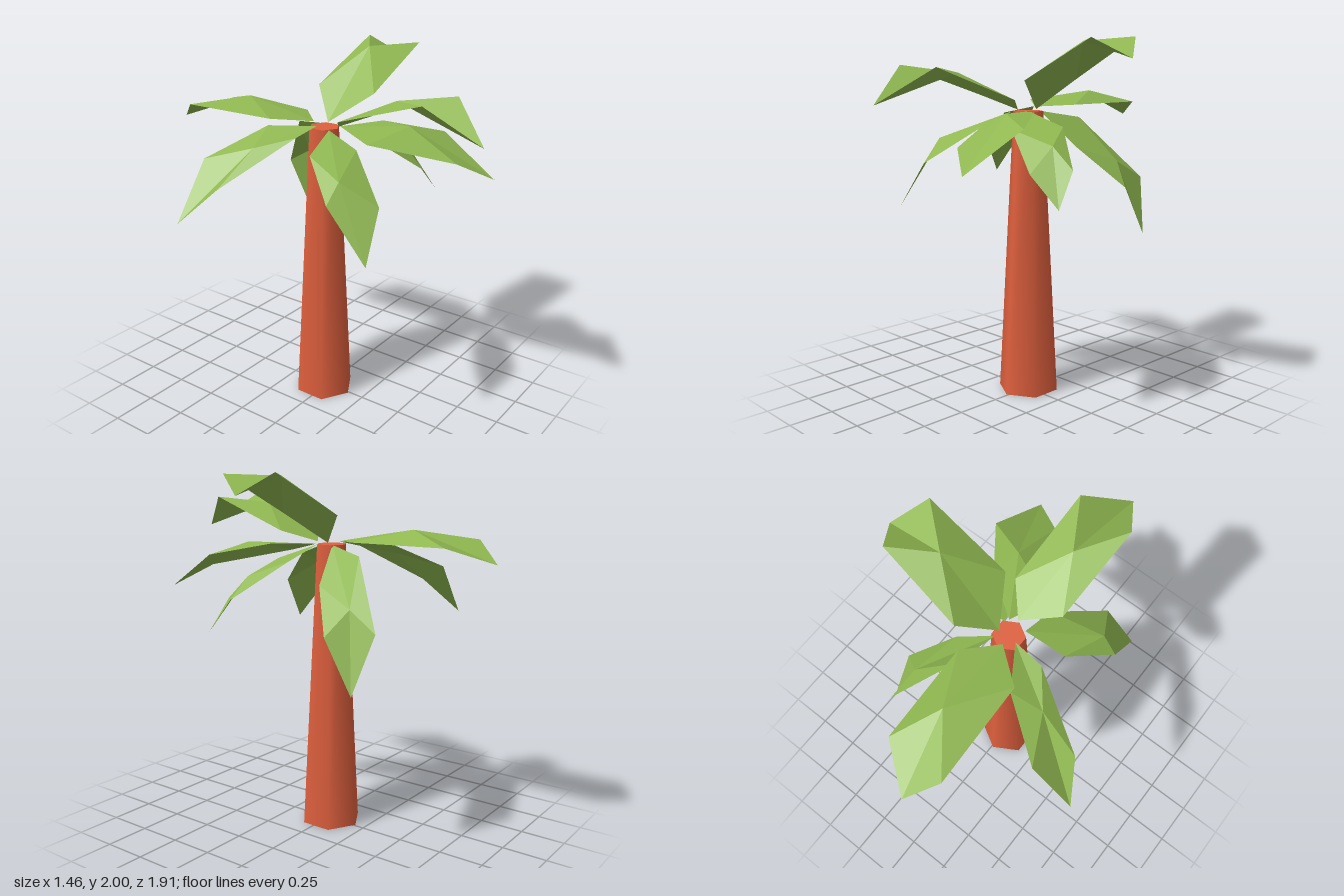
import * as THREE from 'three';

// Each frond: midrib point, then its outline from the base out along the
// right edge to the tip and back along the left edge.
const FRONDS = {
  backFrond: [[-0.02, 1.71, -0.53], [-0.02, 1.63, -0.08], [0.13, 1.64, -0.24], [0.11, 1.64, -0.78],
    [-0.11, 1.55, -0.96], [-0.23, 1.66, -0.8], [-0.21, 1.66, -0.23]],
  leftBackFrond: [[-0.37, 1.54, -0.21], [-0.06, 1.62, -0.03], [-0.2, 1.62, -0.25], [-0.49, 1.47, -0.45],
    [-0.73, 1.18, -0.43], [-0.61, 1.37, -0.25], [-0.23, 1.59, -0.04]],
  leftFrontFrond: [[-0.36, 1.46, 0.33], [-0.06, 1.61, 0.05], [-0.28, 1.53, 0.09], [-0.45, 1.36, 0.32],
    [-0.44, 1.09, 0.55], [-0.27, 1.34, 0.51], [-0.08, 1.54, 0.24]],
  frontFrond: [[-0.04, 1.82, 0.45], [0, 1.62, 0.07], [-0.18, 1.7, 0.19], [-0.21, 1.86, 0.69],
    [-0.07, 1.67, 0.95], [0.11, 1.85, 0.71], [0.135, 1.68, 0.22]],
  rightFrontFrond: [[0.23, 1.62, 0.37], [0.04, 1.61, 0.05], [-0.03, 1.56, 0.27], [0.21, 1.47, 0.67],
    [0.4, 1.36, 0.8], [0.45, 1.56, 0.46], [0.25, 1.62, 0.19]],
  lowerRightFrond: [[0.41, 1.46, 0.22], [0.05, 1.61, 0.03], [0.13, 1.53, 0.24], [0.4, 1.33, 0.37],
    [0.58, 1.17, 0.35], [0.55, 1.35, 0.22], [0.3, 1.54, 0.03]],
  rightFrond: [[0.4, 1.98, -0.01], [0.04, 1.62, -0.03], [0.165, 1.78, 0.18], [0.62, 1.99, 0.18],
    [0.73, 1.89, 0], [0.62, 2, -0.155], [0.18, 1.78, -0.195]],
  rightBackFrond: [[0.33, 1.33, -0.38], [0.04, 1.61, -0.06], [0.25, 1.42, -0.13], [0.45, 1.2, -0.31],
    [0.45, 0.92, -0.475], [0.36, 1.23, -0.555], [0.12, 1.57, -0.29]],
};

// Fan of six facets around the midrib point
function frondGeometry([mid, ...outline]) {
  const positions = [];
  outline.forEach((p, i) => positions.push(...mid, ...p, ...outline[(i + 1) % outline.length]));
  const geometry = new THREE.BufferGeometry();
  geometry.setAttribute('position', new THREE.Float32BufferAttribute(positions, 3));
  geometry.computeVertexNormals();
  return geometry;
}

export function createModel() {
  const tree = new THREE.Group();
  tree.name = 'palmTree';

  // Tapering six-sided trunk
  const trunk = new THREE.Mesh(
    new THREE.CylinderGeometry(0.086, 0.173, 1.61, 6),
    new THREE.MeshStandardMaterial({ color: 0xde5f3d }),
  );
  trunk.name = 'trunk';
  trunk.position.set(-0.01, 0.805, -0.018);
  tree.add(trunk);

  // Crown of creased fronds
  const crown = new THREE.Group();
  crown.name = 'crown';
  const green = new THREE.MeshStandardMaterial({ color: 0x8fb750, flatShading: true, side: THREE.DoubleSide });
  for (const [name, points] of Object.entries(FRONDS)) {
    const frond = new THREE.Mesh(frondGeometry(points), green);
    frond.name = name;
    crown.add(frond);
  }
  tree.add(crown);
  return tree;
}
